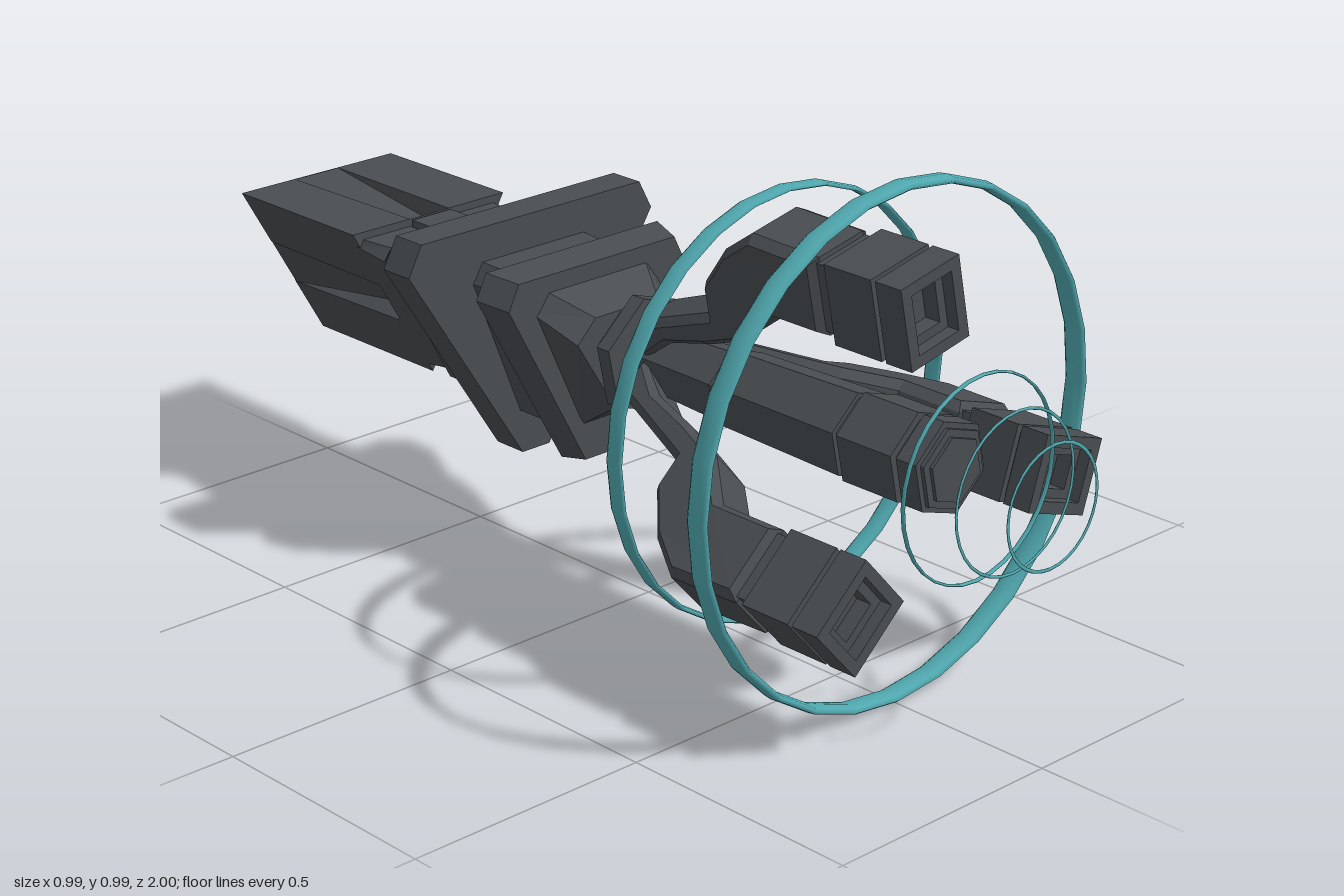
import * as THREE from 'three';

const body = new THREE.MeshStandardMaterial({ color: 0x494d51, flatShading: true });
body.name = 'dark gunmetal';
const teal = new THREE.MeshStandardMaterial({ color: 0x50a9b0 });
teal.name = 'teal';

function add(parent, geometry, material, name, x = 0, y = 0, z = 0) {
  const mesh = new THREE.Mesh(geometry, material);
  mesh.name = name;
  mesh.position.set(x, y, z);
  parent.add(mesh);
  return mesh;
}

// Capped skin over sections running from front to back; points run anticlockwise seen from +z
function loft(sections) {
  const n = sections[0].points.length, pos = [];
  const put = (s, i) => pos.push(...sections[s].points[i % n], sections[s].z);
  for (let s = 0; s < sections.length - 1; s++) {
    for (let i = 0; i < n; i++) {
      put(s, i); put(s + 1, i); put(s + 1, i + 1);
      put(s, i); put(s + 1, i + 1); put(s, i + 1);
    }
  }
  const last = sections.length - 1;
  for (let i = 1; i < n - 1; i++) {
    put(0, 0); put(0, i); put(0, i + 1);
    put(last, 0); put(last, i + 1); put(last, i);
  }
  const g = new THREE.BufferGeometry();
  g.setAttribute('position', new THREE.Float32BufferAttribute(pos, 3));
  g.computeVertexNormals();
  return g;
}

// Triangle pointing down with its corners cut off
function station(z, top, bottom, xTop, xSide, ySide, w) {
  return { z, points: [[xTop, top], [-xTop, top], [-xSide, ySide], [-w, bottom], [w, bottom], [xSide, ySide]] };
}

// Sharp triangle pointing down with a slot along each face
function slottedTriangle(z, radius, slot, depth, cy) {
  const points = [], r = radius / 2;
  for (let k = 0; k < 3; k++) {
    const a = Math.PI / 2 + k * Math.PI * 2 / 3;
    const side = [[r, -r * Math.sqrt(3)], [r, -slot], [r - depth, -slot * 0.9], [r - depth, slot * 0.9], [r, slot]];
    for (const [d, t] of side) {
      points.push([d * Math.cos(a) - t * Math.sin(a), cy + d * Math.sin(a) + t * Math.cos(a)]);
    }
  }
  return { z, points };
}

function rectangle(path, w, h) {
  path.moveTo(-w, -h);
  path.lineTo(w, -h);
  path.lineTo(w, h);
  path.lineTo(-w, h);
  path.closePath();
  return path;
}

// Rectangular tube along z, from half sizes
function frame(w, h, holeW, holeH, depth) {
  const shape = rectangle(new THREE.Shape(), w, h);
  shape.holes.push(rectangle(new THREE.Path(), holeW, holeH));
  return new THREE.ExtrudeGeometry(shape, { depth, bevelEnabled: false });
}

function createArm() {
  const arm = new THREE.Group();
  arm.name = 'clawArm';
  // Side profile as (z, distance from the axis)
  const profile = [[0.05, 0.03], [0.13, 0.085], [0.25, 0.12], [0.34, 0.155], [0.42, 0.235], [0.57, 0.235],
    [0.57, 0.39], [0.41, 0.395], [0.33, 0.34], [0.26, 0.255], [0.26, 0.19], [0.05, 0.11]];
  const shape = new THREE.Shape(profile.map(p => new THREE.Vector2(...p)));
  const g = new THREE.ExtrudeGeometry(shape, {
    depth: 0.11, bevelEnabled: true, bevelSegments: 1, bevelThickness: 0.02, bevelSize: 0.014, bevelOffset: -0.014
  });
  g.translate(0, 0, -0.055);
  g.rotateY(-Math.PI / 2);
  const p = g.attributes.position;
  for (let i = 0; i < p.count; i++) {
    const f = THREE.MathUtils.clamp((p.getZ(i) - 0.05) / 0.36, 0, 1);
    p.setX(i, p.getX(i) * (0.8 + 0.2 * f));
  }
  g.computeVertexNormals();
  add(arm, g, body, 'bentArm');

  // Finger of stacked blocks with narrow gaps and a stepped recess in its tip
  add(arm, new THREE.BoxGeometry(0.12, 0.135, 0.18), body, 'fingerCore', 0, 0.313, 0.63);
  add(arm, new THREE.BoxGeometry(0.146, 0.16, 0.11), body, 'fingerBlock', 0, 0.313, 0.653);
  add(arm, frame(0.073, 0.08, 0.05, 0.058, 0.06), body, 'fingerTipFrame', 0, 0.313, 0.718);
  add(arm, frame(0.051, 0.059, 0.032, 0.04, 0.035), body, 'tipInnerFrame', 0, 0.313, 0.718);
  return arm;
}

export function createModel() {
  const model = new THREE.Group();
  model.name = 'clawDevice';

  // Triangular body and its flanges
  const parts = {
    frontCollar: [[-0.06, 0.575, 0.38, 0.08, 0.125, 0.53, 0.03], [-0.15, 0.62, 0.32, 0.13, 0.16, 0.58, 0.04]],
    frontFlange: [[-0.14, 0.65, 0.25, 0.2, 0.225, 0.6, 0.035], [-0.21, 0.66, 0.235, 0.22, 0.245, 0.61, 0.035]],
    waist: [[-0.2, 0.625, 0.3, 0.125, 0.145, 0.59, 0.04], [-0.33, 0.63, 0.3, 0.13, 0.155, 0.59, 0.04]],
    mainFlange: [[-0.325, 0.7, 0.21, 0.28, 0.312, 0.64, 0.035], [-0.4, 0.7, 0.21, 0.28, 0.312, 0.64, 0.035]],
    rearBody: [[-0.39, 0.62, 0.305, 0.165, 0.185, 0.59, 0.03], [-0.55, 0.62, 0.305, 0.165, 0.185, 0.59, 0.03],
      [-0.565, 0.605, 0.315, 0.16, 0.178, 0.58, 0.02], [-0.65, 0.605, 0.3, 0.17, 0.178, 0.59, 0.01]]
  };
  for (const [name, rows] of Object.entries(parts)) {
    add(model, loft(rows.map(r => station(...r))), body, name);
  }
  add(model, new THREE.BoxGeometry(0.1, 0.02, 0.065), body, 'topLatch', 0, 0.61, -0.6);

  // Rear block whose slots run out to nothing at the back
  const rear = [[-0.64, 0.05, 0.045], [-1, 0.06, 0.001]];
  add(model, loft(rear.map(([z, slot, depth]) => slottedTriangle(z, 0.225, slot, depth, 0.508))), body, 'slottedRearBlock');

  // Neck, disc and six-sided central barrel: front radius, back radius, back z, front z
  const barrel = [['neck', 0.065, 0.075, -0.08, 0.06], ['neckDisc', 0.122, 0.122, -0.017, 0.015],
    ['barrelRoot', 0.076, 0.065, 0.03, 0.26], ['barrelMiddle', 0.088, 0.08, 0.24, 0.56],
    ['barrelGap', 0.078, 0.078, 0.55, 0.76], ['barrelBand', 0.094, 0.094, 0.575, 0.705],
    ['barrelTip', 0.094, 0.094, 0.718, 0.765], ['barrelStep', 0.082, 0.082, 0.76, 0.773],
    ['barrelCap', 0.066, 0.066, 0.765, 0.78]];
  for (const [name, front, back, z0, z1] of barrel) {
    const g = new THREE.CylinderGeometry(front, back, z1 - z0, 6);
    g.rotateX(Math.PI / 2);
    add(model, g, body, name, 0, 0.5, (z0 + z1) / 2).rotation.z = 0.21;
  }

  // Three arms around the axis
  for (let k = 0; k < 3; k++) {
    const arm = createArm();
    arm.position.y = 0.5;
    arm.rotation.z = 0.21 + k * Math.PI * 2 / 3;
    model.add(arm);
  }

  // Floating rings: name, radius, thickness, half depth, z, sides
  const rings = [['largeRing', 0.487, 0.008, 0.025, 0.637, 28], ['middleRing', 0.413, 0.005, 0.02, 0.352, 28],
    ['smallRing', 0.193, 0.0025, 0.005, 0.832, 32], ['smallerRing', 0.151, 0.003, 0.002, 0.915, 32],
    ['smallestRing', 0.115, 0.0035, 0.0015, 0.9985, 32]];
  for (const [name, radius, tube, half, z, sides] of rings) {
    const g = new THREE.TorusGeometry(radius, tube, 8, sides);
    g.scale(1, 1, half / tube);
    add(model, g, teal, name, 0, 0.5, z);
  }
  return model;
}
